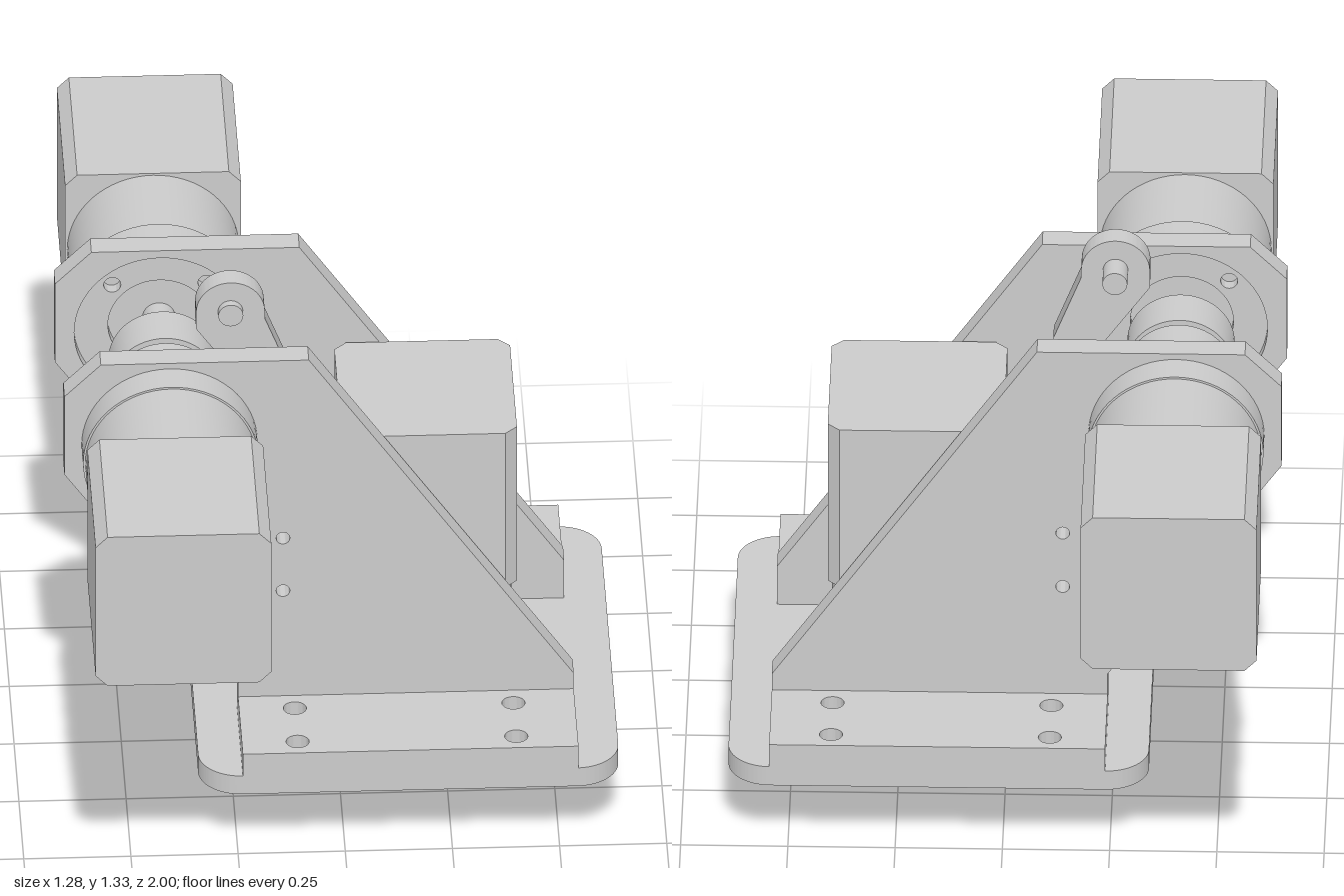
import * as THREE from 'three';
import { toCreasedNormals } from 'three/addons/utils/BufferGeometryUtils.js';

const material = new THREE.MeshStandardMaterial({ color: 0xcccccc });

function add(parent, name, geometry, x = 0, y = 0, z = 0) {
  const mesh = new THREE.Mesh(geometry, material);
  mesh.name = name;
  mesh.position.set(x, y, z);
  parent.add(mesh);
  return mesh;
}

const cylinder = (r, h) => new THREE.CylinderGeometry(r, r, h, 64);

const polygon = (pts) => new THREE.Shape(pts.map(([x, y]) => new THREE.Vector2(x, y)));

function drill(shape, x, y, r) {
  const hole = new THREE.Path();
  hole.absarc(x, y, r, 0, Math.PI * 2, true);
  shape.holes.push(hole);
}

function extrude(shape, depth) {
  const geo = new THREE.ExtrudeGeometry(shape, { depth, bevelEnabled: false, curveSegments: 32 });
  return toCreasedNormals(geo, 0.5);
}

// Extrusion lying flat: outline in x/z, thickness upwards
const slab = (shape, depth) => extrude(shape, depth).rotateX(-Math.PI / 2);

function chamferedSquare(h, c) {
  return polygon([[-h + c, -h], [h - c, -h], [h, -h + c], [h, h - c],
    [h - c, h], [-h + c, h], [-h, h - c], [-h, -h + c]]);
}

// Geared motor standing on its mounting face, shaft pointing down
function makeMotor(name, shaftLength) {
  const motor = new THREE.Group();
  motor.name = name;
  const face = new THREE.Shape().absarc(0, 0, 0.2, 0, Math.PI * 2);
  drill(face, 0, 0, 0.12);
  for (const sx of [-1, 1]) for (const sz of [-1, 1]) drill(face, sx * 0.11, sz * 0.11, 0.02);
  add(motor, 'mountingFace', slab(face, 0.03), 0, -0.03, 0);
  add(motor, 'flange', cylinder(0.205, 0.08), 0, 0.04, 0);
  add(motor, 'gearbox', cylinder(0.2, 0.22), 0, 0.19, 0);
  add(motor, 'motorBody', slab(chamferedSquare(0.205, 0.028), 0.425), 0, 0.3, 0);
  add(motor, 'shaft', cylinder(0.038, shaftLength), 0, -shaftLength / 2, 0);
  return motor;
}

export function createModel() {
  const model = new THREE.Group();
  model.name = 'motorBracketAssembly';
  const axisX = -0.4, axisY = 0.995, verticalX = 0.21;
  const boltX = [-0.11, 0.4], boltZ = [0.33, 0.475];

  // Base plate with rounded corners, bolt holes and motor opening
  const x0 = -0.34, x1 = 0.64, zh = 0.525, r = 0.1;
  const base = new THREE.Shape();
  base.absarc(x1 - r, -zh + r, r, -Math.PI / 2, 0);
  base.absarc(x1 - r, zh - r, r, 0, Math.PI / 2);
  base.absarc(x0 + r, zh - r, r, Math.PI / 2, Math.PI);
  base.absarc(x0 + r, -zh + r, r, Math.PI, Math.PI * 1.5);
  base.closePath();
  drill(base, verticalX, 0, 0.2);
  for (const x of boltX) for (const z of boltZ) for (const s of [-1, 1]) drill(base, x, s * z, 0.016);
  add(model, 'basePlate', slab(base, 0.05), 0, 0.18, 0);

  // Grooved ring under the base
  const ring = [[0.24, 0.18], [0.24, 0.155], [0.285, 0.155], [0.285, 0.168],
    [0.303, 0.168], [0.303, 0.155], [0.32, 0.155], [0.32, 0.18]];
  const ringGeo = new THREE.LatheGeometry(ring.map(([a, b]) => new THREE.Vector2(a, b)), 72);
  add(model, 'bottomRing', toCreasedNormals(ringGeo, 0.5), verticalX, 0, 0);

  // Upright motor
  const upright = makeMotor('uprightMotor', 0.23);
  upright.position.set(verticalX, 0.23, 0);
  model.add(upright);

  // Side plates, feet and horizontal motors on both sides
  for (const s of [-1, 1]) {
    const label = s > 0 ? 'front' : 'back';
    const plate = polygon([[-0.24, 0.23], [0.543, 0.23], [0.543, 0.333], [-0.075, 1.215],
      [-0.56, 1.215], [-0.645, 1.13], [-0.645, 0.915], [-0.24, 0.345]]);
    drill(plate, axisX, axisY, 0.2);
    for (const y of [0.58, 0.725]) drill(plate, -0.135, y, 0.016);
    add(model, label + 'SidePlate', extrude(plate, 0.06), 0, 0, s > 0 ? 0.215 : -0.275);

    const za = s * 0.275, zb = s * 0.525;
    const [lo, hi] = s > 0 ? [-zb, -za] : [-za, -zb];
    const foot = polygon([[-0.24, lo], [0.543, lo], [0.543, hi], [-0.24, hi]]);
    for (const x of boltX) for (const z of boltZ) drill(foot, x, -s * z, 0.027);
    add(model, label + 'Foot', slab(foot, 0.06), 0, 0.23, 0);

    const motor = makeMotor(label + 'Motor', s > 0 ? 0.235 : 0.255);
    motor.position.set(axisX, axisY, s * 0.275);
    motor.rotation.x = s * Math.PI / 2;
    model.add(motor);

    // Hub on the motor shaft
    add(model, label + 'Hub', cylinder(0.125, 0.117).rotateX(Math.PI / 2),
      axisX, axisY, s > 0 ? 0.096 : -0.042);
  }

  // Cross plate tying the side plates together
  add(model, 'crossPlate', new THREE.BoxGeometry(0.06, 0.295, 0.43), -0.135, 0.623, 0);

  // Arm rising from the cross plate to the pin eye
  const arm = new THREE.Shape();
  arm.moveTo(-0.165, 0.7);
  arm.lineTo(-0.105, 0.7);
  arm.lineTo(-0.105, 1.06);
  arm.lineTo(-0.17, 1.225);
  arm.absarc(-0.25, 1.245, 0.08, 0, Math.PI);
  arm.lineTo(-0.33, 1.2);
  arm.lineTo(-0.165, 0.97);
  arm.closePath();
  add(model, 'pinArm', extrude(arm, 0.055), 0, 0, 0.05);
  add(model, 'pin', cylinder(0.029, 0.14).rotateX(Math.PI / 2), -0.25, 1.247, 0.055);

  return model;
}
